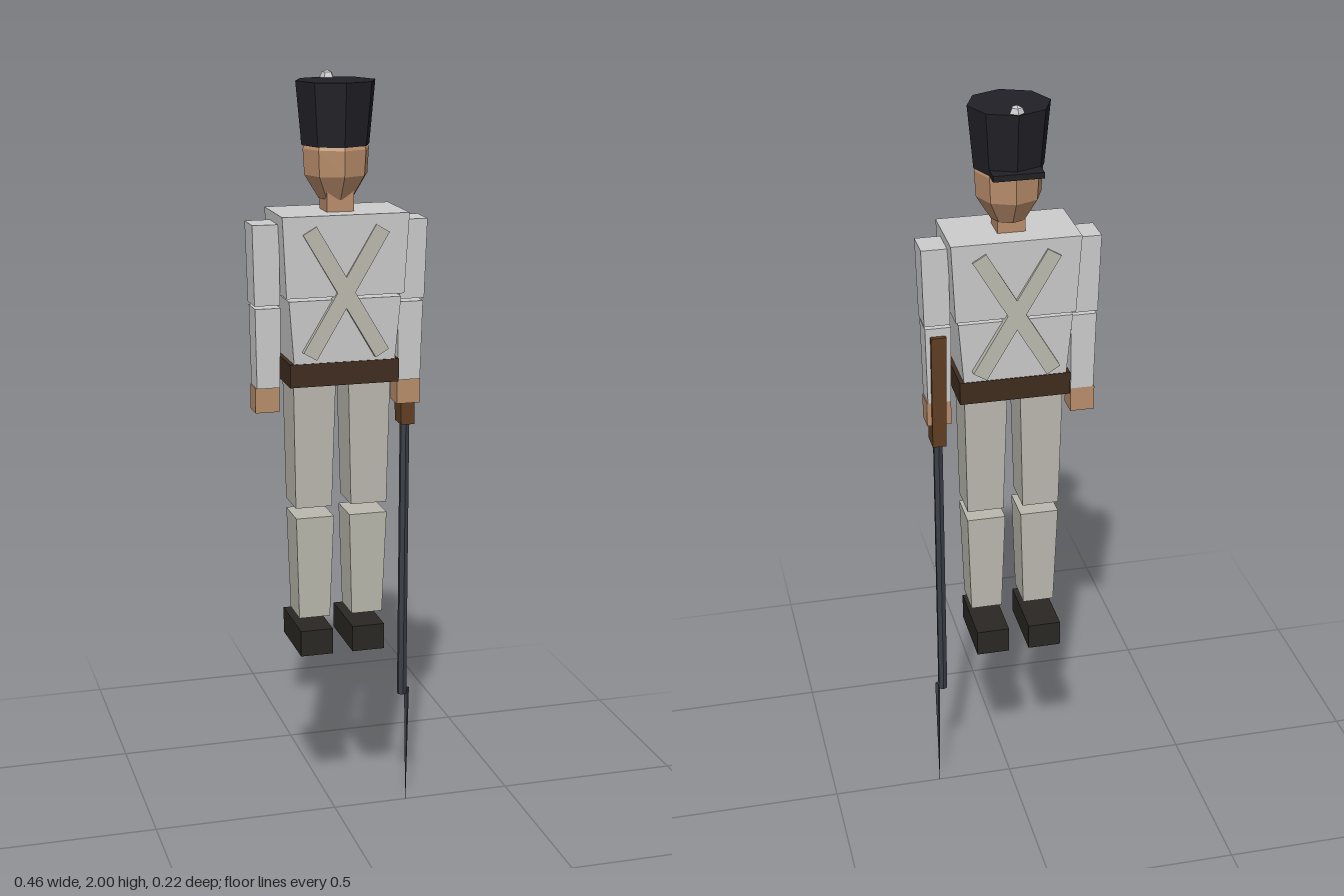
import * as THREE from 'three';

const mat = (color) => new THREE.MeshStandardMaterial({ color, flatShading: true, side: THREE.DoubleSide });

export function createModel() {
  const model = new THREE.Group();
  model.name = 'toySoldier';

  const coat = mat(0xcccccc), trousers = mat(0xbab8ae), strap = mat(0xbcbaae), skin = mat(0xb98d6b);
  const black = mat(0x202026), leather = mat(0x3f2c1e), bootMat = mat(0x2a2723);
  const wood = mat(0x5f3d22), steel = mat(0x3a3f47);

  const add = (name, geometry, material, x = 0, y = 0, z = 0) => {
    const mesh = new THREE.Mesh(geometry, material);
    mesh.name = name;
    mesh.position.set(x, y, z);
    model.add(mesh);
    return mesh;
  };

  // Tapered block: bottom and top rectangles are [x0, x1, z0, z1]
  const block = (name, material, y0, y1, bottom, top = bottom) => {
    const geometry = new THREE.BoxGeometry(1, 1, 1);
    const p = geometry.attributes.position;
    for (let i = 0; i < p.count; i++) {
      const up = p.getY(i) > 0;
      const r = up ? top : bottom;
      p.setXYZ(i, r[p.getX(i) > 0 ? 1 : 0], up ? y1 : y0, r[p.getZ(i) > 0 ? 3 : 2]);
    }
    geometry.computeVertexNormals();
    return add(name, geometry, material);
  };

  // Torso, belt and neck
  block('chest', coat, 1.455, 1.66, [-0.153, 0.153, -0.073, 0.104], [-0.164, 0.164, -0.08, 0.109]);
  block('waist', coat, 1.28, 1.447, [-0.132, 0.132, -0.064, 0.095], [-0.146, 0.146, -0.07, 0.101]);
  block('belt', leather, 1.225, 1.285, [-0.143, 0.143, -0.066, 0.097]);
  block('neck', skin, 1.65, 1.71, [-0.035, 0.035, -0.02, 0.053]);

  // Crossed straps on chest and back
  for (const z of [-0.072, 0.1]) {
    for (const s of [-1, 1]) {
      const band = add('crossStrap', new THREE.BoxGeometry(0.04, 0.37, 0.024), strap, 0, 1.465, z);
      band.rotation.z = s * 0.535;
    }
  }

  // Faceted head
  const headProfile = [[0, 1.69], [0.045, 1.69], [0.082, 1.75], [0.086, 1.815], [0.065, 1.86], [0, 1.86]]
    .map(([r, y]) => new THREE.Vector2(r, y));
  add('head', new THREE.LatheGeometry(headProfile, 8), skin, 0, 0, 0.01);

  // Tall cap with peak and pompom
  add('cap', new THREE.CylinderGeometry(0.103, 0.088, 0.158, 8), black, 0, 1.902, 0.006);
  block('capPeak', black, 1.823, 1.838, [-0.063, 0.063, -0.1, -0.02]);
  const pompom = add('pompom', new THREE.SphereGeometry(0.019, 5, 4), coat, 0, 1.981, -0.074);
  pompom.rotation.y = -Math.PI / 2;

  // Arms and legs on both sides
  for (const s of [-1, 1]) {
    const limb = (name, material, y0, y1, b, t = b) => {
      const flip = (r) => (s > 0 ? r : [-r[1], -r[0], r[2], r[3]]);
      return block(name, material, y0, y1, flip(b), flip(t));
    };
    limb('upperArm', coat, 1.43, 1.635, [0.157, 0.223, -0.024, 0.052], [0.16, 0.228, -0.028, 0.057]);
    limb('forearm', coat, 1.215, 1.422, [0.157, 0.217, -0.02, 0.044], [0.155, 0.221, -0.022, 0.049]);
    limb('hand', skin, 1.15, 1.215, [0.157, 0.22, -0.02, 0.038]);
    limb('thigh', trousers, 0.895, 1.228, [0.026, 0.122, -0.041, 0.064], [0.017, 0.128, -0.047, 0.07]);
    limb('shin', trousers, 0.59, 0.868, [0.03, 0.113, -0.035, 0.06], [0.021, 0.122, -0.04, 0.068]);
    limb('boot', bootMat, 0.49, 0.56, [0.027, 0.114, -0.111, 0.08]);
  }

  // Musket held muzzle down, with bayonet
  block('musketStock', wood, 1.09, 1.4, [0.172, 0.208, -0.027, 0.03], [0.169, 0.208, -0.034, 0.02]);
  add('musketBarrel', new THREE.CylinderGeometry(0.013, 0.013, 0.78, 6), steel, 0.19, 0.71, 0);
  add('bayonet', new THREE.CylinderGeometry(0.007, 0.0005, 0.335, 4), steel, 0.204, 0.1675, 0);

  return model;
}
